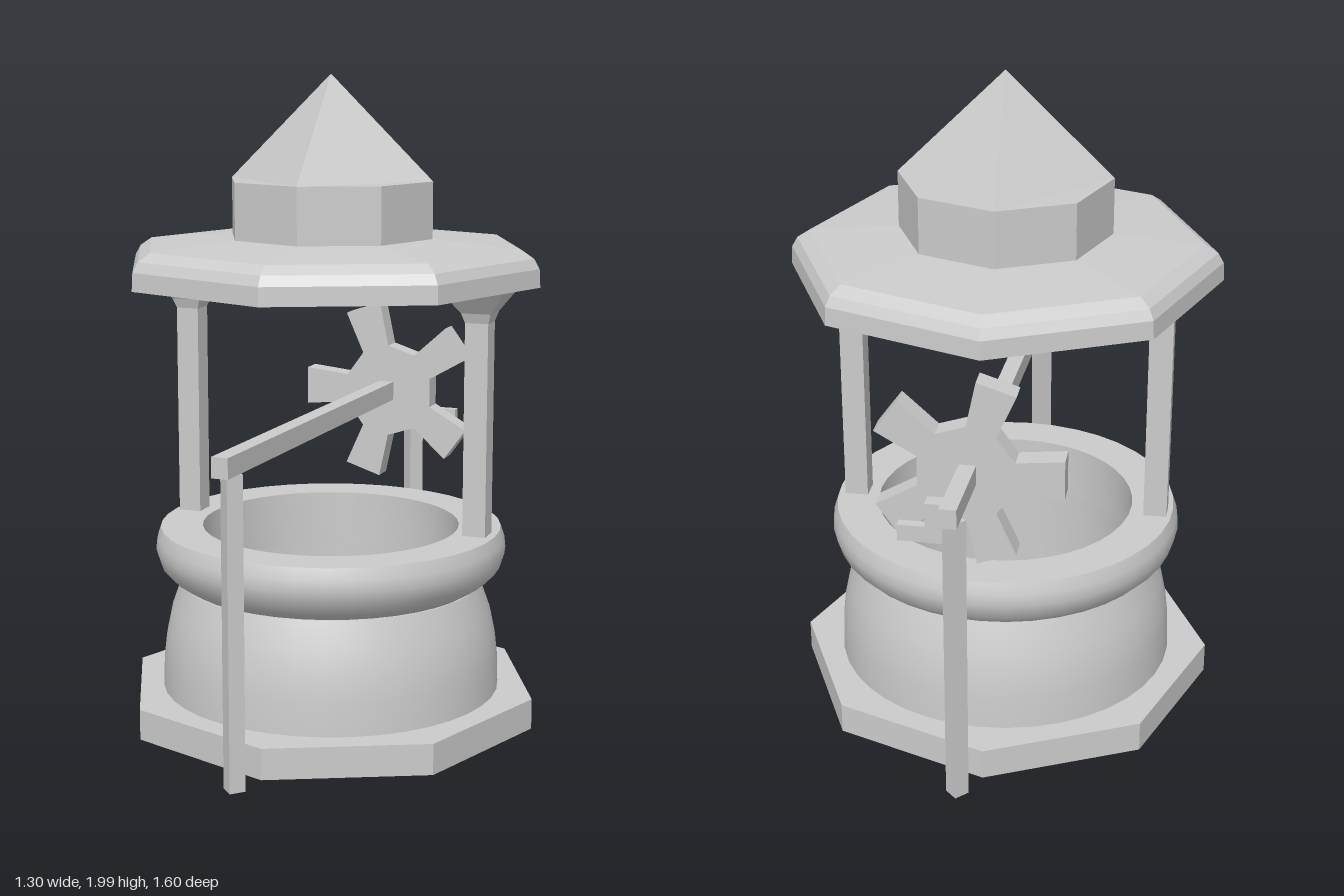
import * as THREE from 'three';
import { toCreasedNormals } from 'three/addons/utils/BufferGeometryUtils.js';

const CZ = -0.015;   // centre line of the well
const TURN = 0.047;  // slight twist of the octagonal parts

export function createModel() {
  const model = new THREE.Group();
  const flat = new THREE.MeshStandardMaterial({ color: 0xcccccc, flatShading: true });
  const smooth = new THREE.MeshStandardMaterial({ color: 0xcccccc });

  const add = (name, geometry, x, y, z, material = flat) => {
    const mesh = new THREE.Mesh(geometry, material);
    mesh.name = name;
    mesh.position.set(x, y, z);
    model.add(mesh);
    return mesh;
  };
  const lathe = (points, sides, start = 0) =>
    new THREE.LatheGeometry(points.map(([r, y]) => new THREE.Vector2(r, y)), sides, start);
  const box = (w, h, d) => new THREE.BoxGeometry(w, h, d);

  // Octagonal plinth
  add('base', new THREE.CylinderGeometry(0.65, 0.65, 0.095, 8, 1, false, TURN), 0, 0.0575, CZ);

  // Round stone wall, hollow inside
  const wall = lathe([
    [0.528, 0.105], [0.525, 0.2], [0.517, 0.27], [0.5, 0.35], [0.468, 0.44],
    [0.4, 0.44], [0.4, 0.12], [0, 0.12],
  ], 40);
  add('wellWall', toCreasedNormals(wall, 0.6), 0, 0, CZ, smooth);

  // Bulging rim
  const rim = lathe([
    [0.4, 0.44], [0.462, 0.44], [0.5, 0.464], [0.53, 0.495], [0.546, 0.545],
    [0.542, 0.58], [0.53, 0.615], [0.4, 0.615], [0.4, 0.44],
  ], 40);
  add('wellRim', toCreasedNormals(rim, 0.6), 0, 0, CZ, smooth);

  // Square posts flaring out below the roof
  const r2 = Math.SQRT2;
  const post = lathe([
    [0, 0.6], [0.036 * r2, 0.6], [0.036 * r2, 1.27], [0.046 * r2, 1.3],
    [0.082 * r2, 1.35], [0.106 * r2, 1.382], [0, 1.382],
  ], 4, Math.PI / 4);
  add('rightPost', post, -0.477, 0, -0.035);
  add('leftPost', post, 0.469, 0, -0.035);

  // Octagonal roof with a rounded edge
  add('roof', lathe([
    [0, 1.38], [0.65, 1.38], [0.647, 1.435], [0.63, 1.465], [0.592, 1.49],
    [0.3, 1.515], [0, 1.515],
  ], 8, TURN), 0, 0, CZ);
  add('roofDrum', new THREE.CylinderGeometry(0.32, 0.32, 0.18, 8, 1, false, TURN), 0, 1.595, CZ);
  add('roofSpire', new THREE.ConeGeometry(0.32, 0.315, 4, 1, false, TURN), 0, 1.8425, CZ);

  // Long axle resting on two diamond-turned legs
  add('axle', box(0.05, 0.06, 1.6), 0.012, 0.96, 0.002).rotation.y = -0.034;
  for (const [name, x, z] of [['frontLeg', -0.012, 0.728], ['backLeg', 0.032, -0.742]]) {
    add(name, box(0.048, 0.92, 0.048), x, 0.47, z).rotation.y = Math.PI / 4;
  }

  // Five-spoked turning wheel
  const outline = [];
  for (let i = 0; i < 5; i++) {
    const a = Math.PI / 5 + i * Math.PI * 2 / 5;
    for (const [r, w] of [[0.143, -0.046], [0.285, -0.061], [0.285, 0.061], [0.143, 0.046]]) {
      outline.push(new THREE.Vector2(r, w).rotateAround(new THREE.Vector2(), a));
    }
  }
  const wheel = new THREE.ExtrudeGeometry(new THREE.Shape(outline), { depth: 0.07, bevelEnabled: false });
  add('wheel', wheel, 0.035, 0.96, -0.53);

  // Crank on the back end of the axle
  add('crankArm', box(0.065, 0.125, 0.045), 0.092, 0.8825, -0.67);
  add('crankHandle', box(0.1, 0.05, 0.03), 0.155, 0.845, -0.675);

  return model;
}
